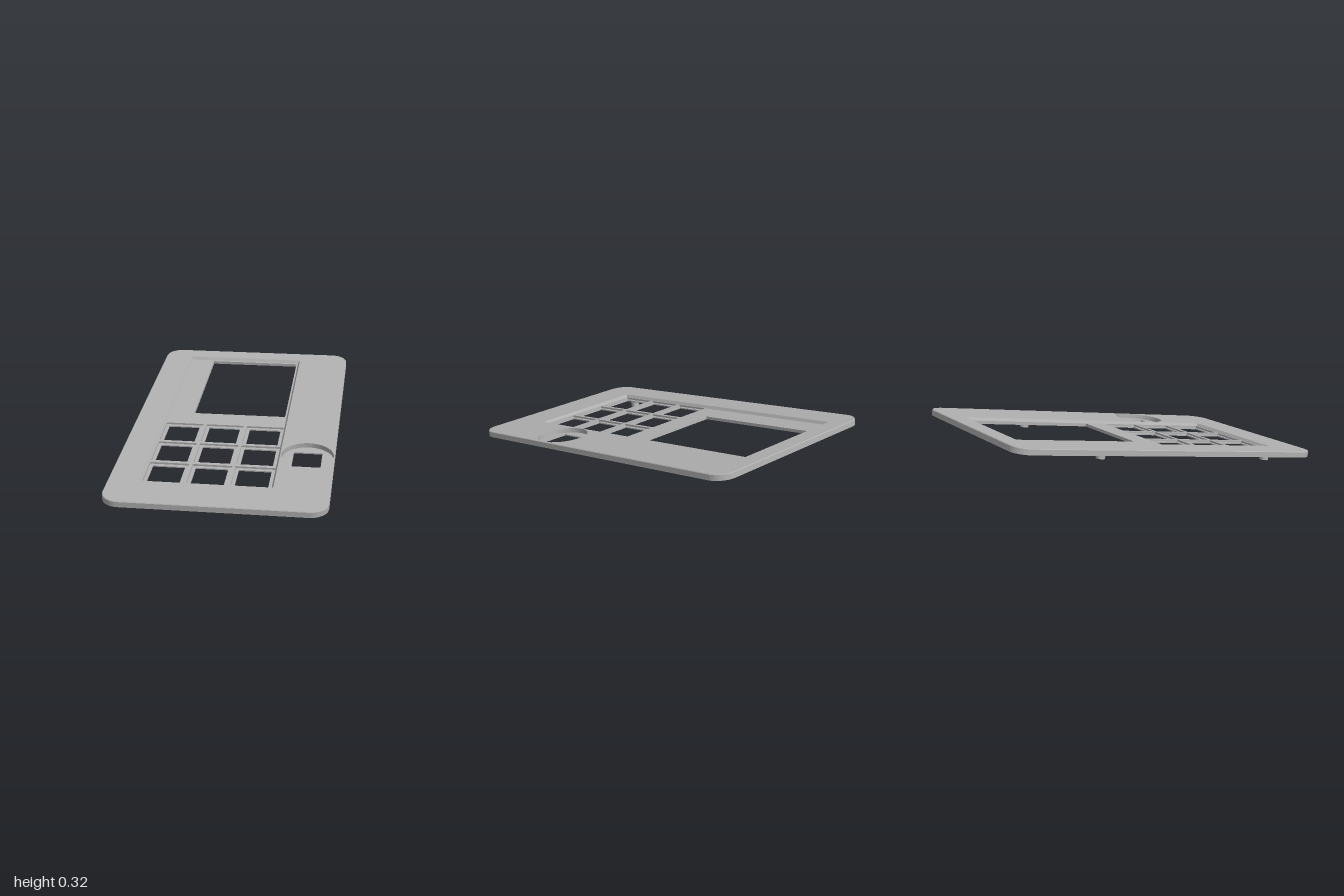
import * as THREE from 'three';
import { mergeGeometries, toCreasedNormals } from 'three/addons/utils/BufferGeometryUtils.js';

const TILT = THREE.MathUtils.degToRad(8);
const COS = Math.cos(TILT);

// Heights above the underside of the panel
const LEDGE = 0.007, FLOOR = 0.018, EDGE = 0.031, TOP = 0.035;

// Counter-clockwise loop for a rectangle given by its plan x and z, with rounded corners
function rect(x0, x1, z0, z1, r = 0) {
  const y0 = -z1 / COS, y1 = -z0 / COS;
  if (r === 0) return [[x0, y0], [x1, y0], [x1, y1], [x0, y1]].map(p => new THREE.Vector2(...p));
  const corners = [[x1 - r, y0 + r, -0.5], [x1 - r, y1 - r, 0], [x0 + r, y1 - r, 0.5], [x0 + r, y0 + r, 1]];
  return corners.flatMap(([cx, cy, a]) => Array.from({ length: 13 }, (_, i) => {
    const t = (a + i / 24) * Math.PI;
    return new THREE.Vector2(cx + r * Math.cos(t), cy + r * Math.sin(t));
  }));
}

function circle(cx, z, r, n = 64) {
  return Array.from({ length: n }, (_, i) => {
    const t = (i / n) * Math.PI * 2;
    return new THREE.Vector2(cx + r * Math.cos(t), -z / COS + r * Math.sin(t));
  });
}

// Flat face at one height, with holes
function cap(outline, holes, h, faceDown = false) {
  const shape = new THREE.Shape(outline);
  shape.holes = holes.map(p => new THREE.Path(p));
  const g = new THREE.ShapeGeometry(shape);
  if (faceDown) {
    const idx = g.index.array;
    for (let i = 0; i < idx.length; i += 3) [idx[i], idx[i + 1]] = [idx[i + 1], idx[i]];
  }
  g.translate(0, 0, h);
  return finish(g);
}

// Wall between a lower loop and an upper loop; inward for the sides of a hole
function wall(low, h0, high, h1, inward = false) {
  const a = inward ? [...low].reverse() : low;
  const b = inward ? [...high].reverse() : high;
  const pos = [];
  a.forEach((p, i) => {
    const j = (i + 1) % a.length;
    const A = [p.x, p.y, h0], B = [a[j].x, a[j].y, h0];
    const C = [b[j].x, b[j].y, h1], D = [b[i].x, b[i].y, h1];
    pos.push(...A, ...B, ...C, ...A, ...C, ...D);
  });
  const g = new THREE.BufferGeometry();
  g.setAttribute('position', new THREE.Float32BufferAttribute(pos, 3));
  return finish(g);
}

function finish(g) {
  g.deleteAttribute('uv');
  g.deleteAttribute('normal');
  const flat = g.index ? g.toNonIndexed() : g;
  flat.computeVertexNormals();
  return flat;
}

export function createModel() {
  const grey = new THREE.MeshStandardMaterial({ color: 0xb0b0b0 });
  grey.name = 'grey plastic';

  const model = new THREE.Group();
  model.name = 'controlPanelCover';
  const panel = new THREE.Group();
  panel.name = 'tiltedPanel';
  panel.rotation.x = TILT;
  panel.position.set(0, 0.148, -0.0024);
  model.add(panel);

  const add = (name, parts) => {
    const g = toCreasedNormals(mergeGeometries(parts), 0.5);
    g.rotateX(-Math.PI / 2);
    const mesh = new THREE.Mesh(g, grey);
    mesh.name = name;
    panel.add(mesh);
  };

  // Loops for every opening
  const outer = rect(-0.608, 0.608, -0.9975, 0.9975, 0.1);
  const rim = rect(-0.605, 0.605, -0.9945, 0.9945, 0.097);
  const recessTop = rect(-0.437, 0.299, -0.89, 0.772);
  const recessLow = rect(-0.426, 0.288, -0.878, 0.762);
  const screen = rect(-0.28, 0.278, -0.865, -0.09);
  const dial = circle(0.453, 0.405, 0.149);
  const dialHole = rect(0.37, 0.533, 0.322, 0.484);
  const keys = [], pockets = [];
  for (const x of [-0.312, -0.068, 0.175]) {
    for (const z of [0.16, 0.401, 0.644]) {
      keys.push(rect(x - 0.092, x + 0.092, z - 0.09, z + 0.09));
      pockets.push(rect(x - 0.112, x + 0.112, z - 0.11, z + 0.11));
    }
  }

  // Main slab: underside, outer edge and top face
  add('panelBody', [
    cap(outer, [screen, dialHole, ...keys], 0, true),
    wall(outer, 0, outer, EDGE),
    wall(outer, EDGE, rim, TOP),
    cap(rim, [recessTop, dial], TOP),
  ]);

  // Sunken area with sloping sides and the screen window
  add('displayRecess', [
    wall(recessLow, FLOOR, recessTop, TOP, true),
    cap(recessLow, [screen, ...pockets], FLOOR),
    wall(screen, 0, screen, FLOOR, true),
  ]);

  // Stepped key openings
  add('keyOpenings', keys.flatMap((key, i) => [
    wall(pockets[i], LEDGE, pockets[i], FLOOR, true),
    cap(pockets[i], [key], LEDGE),
    wall(key, 0, key, LEDGE, true),
  ]));

  // Round dial well with a square hole
  add('dialWell', [
    wall(dial, LEDGE, dial, TOP, true),
    cap(dial, [dialHole], LEDGE),
    wall(dialHole, 0, dialHole, LEDGE, true),
  ]);

  // Hollow mounting posts under the panel
  const profile = [[0, -0.01], [0.012, -0.01], [0.012, -0.0437], [0.026, -0.0437], [0.026, 0.002]]
    .map(p => new THREE.Vector2(...p));
  const postGeometry = toCreasedNormals(new THREE.LatheGeometry(profile, 32), 0.5);
  for (const x of [-0.463, 0.46]) {
    for (const z of [-0.418, 0.728]) {
      const post = new THREE.Mesh(postGeometry, grey);
      post.name = 'mountingPost';
      post.position.set(x, 0, z / COS);
      panel.add(post);
    }
  }
  return model;
}
